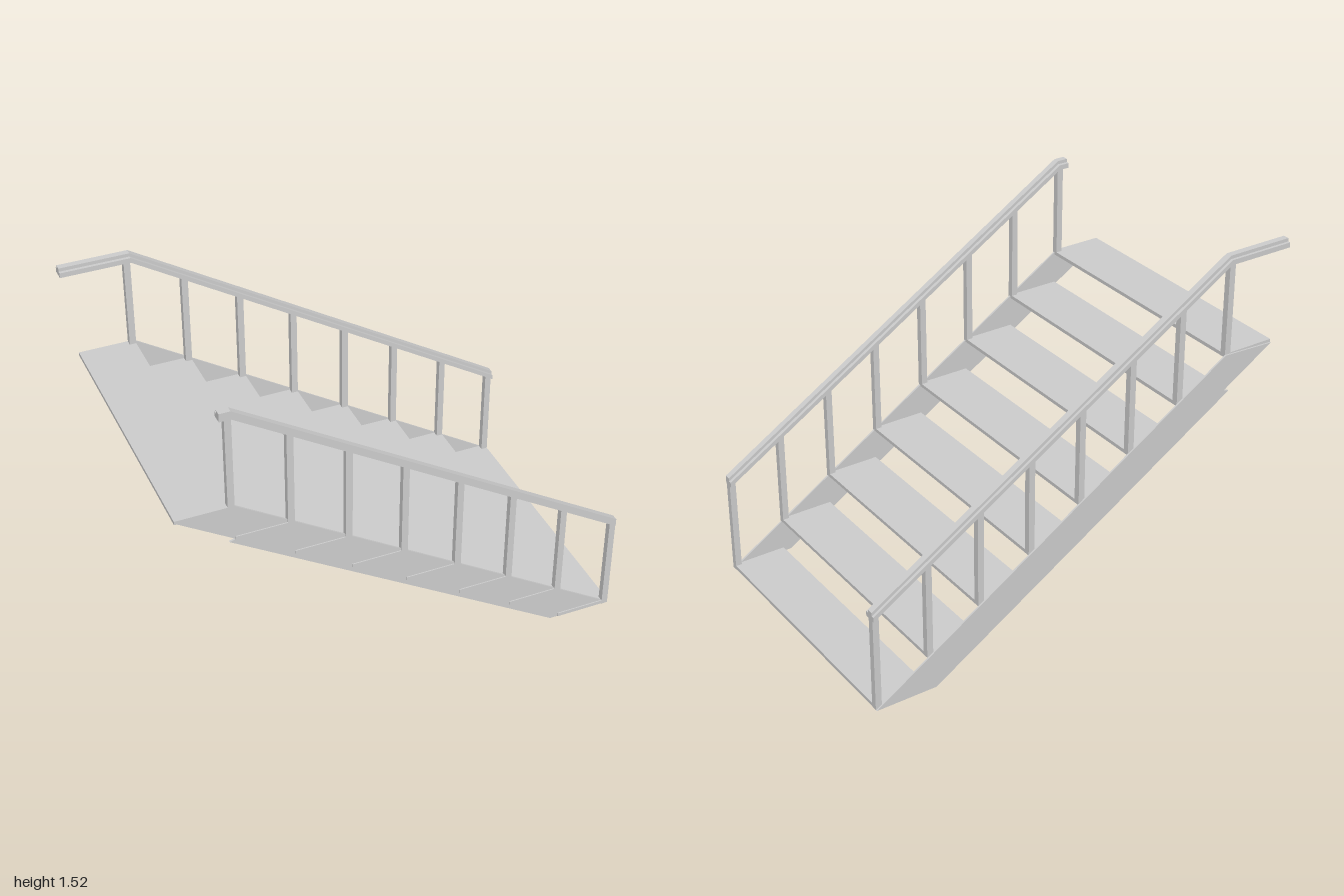
import * as THREE from 'three';

const material = new THREE.MeshStandardMaterial({ color: 0xcccccc, flatShading: true });
const STEPS = 8, RUN = 0.2425, RISE = 0.1515;
const RAIL_LOW = 0.43, RAIL_HIGH = 1.484, TOP_X = -0.7;
const railBottom = (x) => RAIL_LOW + (1 - x) * (RAIL_HIGH - RAIL_LOW) / (1 - TOP_X);

function add(parent, name, geometry) {
  const mesh = new THREE.Mesh(geometry, material);
  mesh.name = name;
  parent.add(mesh);
  return mesh;
}

// Box given by its lower and upper corners
function block(parent, name, x0, x1, y0, y1, z0, z1) {
  add(parent, name, new THREE.BoxGeometry(x1 - x0, y1 - y0, z1 - z0))
    .position.set((x0 + x1) / 2, (y0 + y1) / 2, (z0 + z1) / 2);
}

const shapeOf = (points) => new THREE.Shape(points.map(([a, b]) => new THREE.Vector2(a, b)));

// Rail section (z, y) swept from a to b (falling x), with upright end cuts
function railPiece(parent, name, profile, a, b) {
  const geometry = new THREE.ExtrudeGeometry(shapeOf(profile), { depth: 1, bevelEnabled: false });
  const p = geometry.attributes.position;
  for (let i = 0; i < p.count; i++) {
    const z = p.getX(i), y = p.getY(i), t = p.getZ(i);
    p.setXYZ(i, a[0] + t * (b[0] - a[0]), y + a[1] + t * (b[1] - a[1]), z);
  }
  geometry.computeVertexNormals();
  add(parent, name, geometry);
}

// Handrail section: wide base with a raised middle strip
const section = (z0, c0, c1, z1) => {
  const points = [[z0, 0], [z1, 0], [z1, 0.022]];
  if (c1 < z1) points.push([c1, 0.022]);
  points.push([c1, 0.037], [c0, 0.037], [c0, 0.022], [z0, 0.022]);
  return points;
};

export function createModel() {
  const model = new THREE.Group();
  model.name = 'staircase';

  // Open treads
  for (let i = 0; i < STEPS; i++) {
    const x = 0.998 - i * RUN, y = 0.018 + i * RISE;
    block(model, 'tread', x - RUN, x, y - 0.016, y, -0.6, 0.61);
  }

  const sides = [
    { name: 'back', stringer: -0.607, post: [-0.6, -0.572], rail: section(-0.612, -0.6, -0.572, -0.558), end: -1 },
    { name: 'front', stringer: 0.597, post: [0.583, 0.61], rail: section(0.567, 0.582, 0.61, 0.61), end: -0.747 },
  ];
  for (const side of sides) {
    const group = new THREE.Group();
    group.name = side.name + 'Side';
    model.add(group);

    // Sloping side board
    const board = shapeOf([[0.72, 0], [0.998, 0], [-0.7, 1.075], [-0.94, 1.065], [-0.697, 0.912], [-0.725, 0.905]]);
    add(group, 'stringer', new THREE.ExtrudeGeometry(board, { depth: 0.008, bevelEnabled: false }))
      .position.z = side.stringer;

    // Posts at the front corner of each tread
    for (let i = 0; i < STEPS; i++) {
      const x = 0.998 - i * RUN;
      const foot = i === 0 ? 0 : 0.01 + i * RISE;
      block(group, 'post', x - 0.028, x, foot, railBottom(x - 0.014) + 0.012, ...side.post);
    }

    // Sloping handrail and its level end
    railPiece(group, 'handrail', side.rail, [1, RAIL_LOW], [TOP_X, RAIL_HIGH]);
    railPiece(group, 'handrailEnd', side.rail, [TOP_X, RAIL_HIGH], [side.end, RAIL_HIGH]);
  }
  return model;
}
